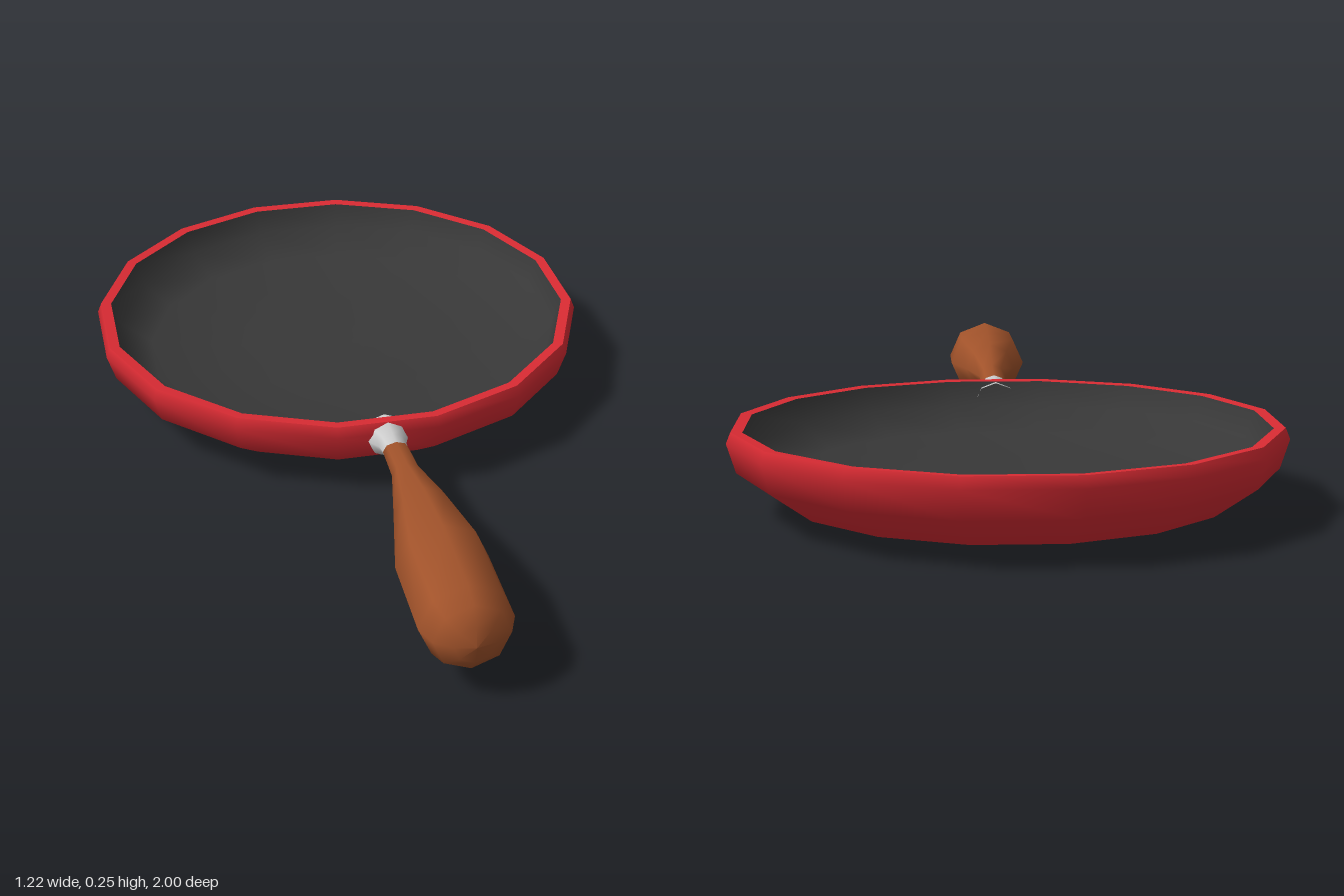
import * as THREE from 'three';

const SIDES = 16;
const PAN_Z = -0.39;
const CORNER = 1 / Math.cos(Math.PI / SIDES); // flat-to-flat radius -> corner radius

const mat = (color) => new THREE.MeshStandardMaterial({ color });

// Sixteen-sided ring with flats facing the axes; profile is [radius to flat, y]
function turned(name, profile, material) {
  const pts = profile.map(([r, y]) => new THREE.Vector2(r * CORNER, y));
  const mesh = new THREE.Mesh(new THREE.LatheGeometry(pts, SIDES, Math.PI / SIDES), material);
  mesh.name = name;
  mesh.position.z = PAN_Z;
  return mesh;
}

// Octagonal loft along z; sections are [z, centre y, half width, half height]
function loft(name, sections, material) {
  const n = 8, pos = [], idx = [];
  sections.forEach(([z, y, rx, ry], i) => {
    for (let j = 0; j < n; j++) {
      const a = (j / n) * Math.PI * 2;
      pos.push(rx * Math.cos(a), y + ry * Math.sin(a), z);
      if (i === sections.length - 1) continue;
      const p = i * n + j, q = i * n + ((j + 1) % n);
      idx.push(p, q, q + n, p, q + n, p + n);
    }
  });
  const geo = new THREE.BufferGeometry();
  geo.setAttribute('position', new THREE.Float32BufferAttribute(pos, 3));
  geo.setIndex(idx);
  geo.computeVertexNormals();
  const mesh = new THREE.Mesh(geo, material);
  mesh.name = name;
  return mesh;
}

export function createModel() {
  const group = new THREE.Group();
  group.name = 'fryingPan';
  const red = mat(0xd92b33), dark = mat(0x383838), wood = mat(0xa0522a), grey = mat(0xcccccc);

  // Pan body
  group.add(
    turned('panBase', [[0, 0], [0.27, 0.006], [0.495, 0.03]], dark),
    turned('panWall', [[0.495, 0.03], [0.59, 0.1], [0.61, 0.165], [0.6, 0.19]], red),
    turned('panRim', [[0.6, 0.19], [0.575, 0.188]], red),
    turned('cookingSurface', [[0.575, 0.188], [0.555, 0.13], [0.48, 0.075], [0.25, 0.055], [0, 0.05]], dark),
  );

  // Metal neck between pan and handle
  group.add(loft('handleNeck', [
    [0.17, 0.14, 0.052, 0.046],
    [0.22, 0.145, 0.046, 0.044],
    [0.26, 0.158, 0.033, 0.03],
    [0.31, 0.165, 0.028, 0.022],
  ], grey));

  // Wooden handle
  group.add(loft('handle', [
    [0.295, 0.165, 0, 0],
    [0.295, 0.165, 0.031, 0.023],
    [0.4, 0.169, 0.034, 0.03],
    [0.55, 0.167, 0.065, 0.067],
    [0.72, 0.159, 0.101, 0.094],
    [0.92, 0.153, 0.101, 0.095],
    [0.965, 0.152, 0.082, 0.08],
    [0.99, 0.152, 0.045, 0.045],
    [1.0, 0.152, 0, 0],
  ], wood));

  return group;
}
